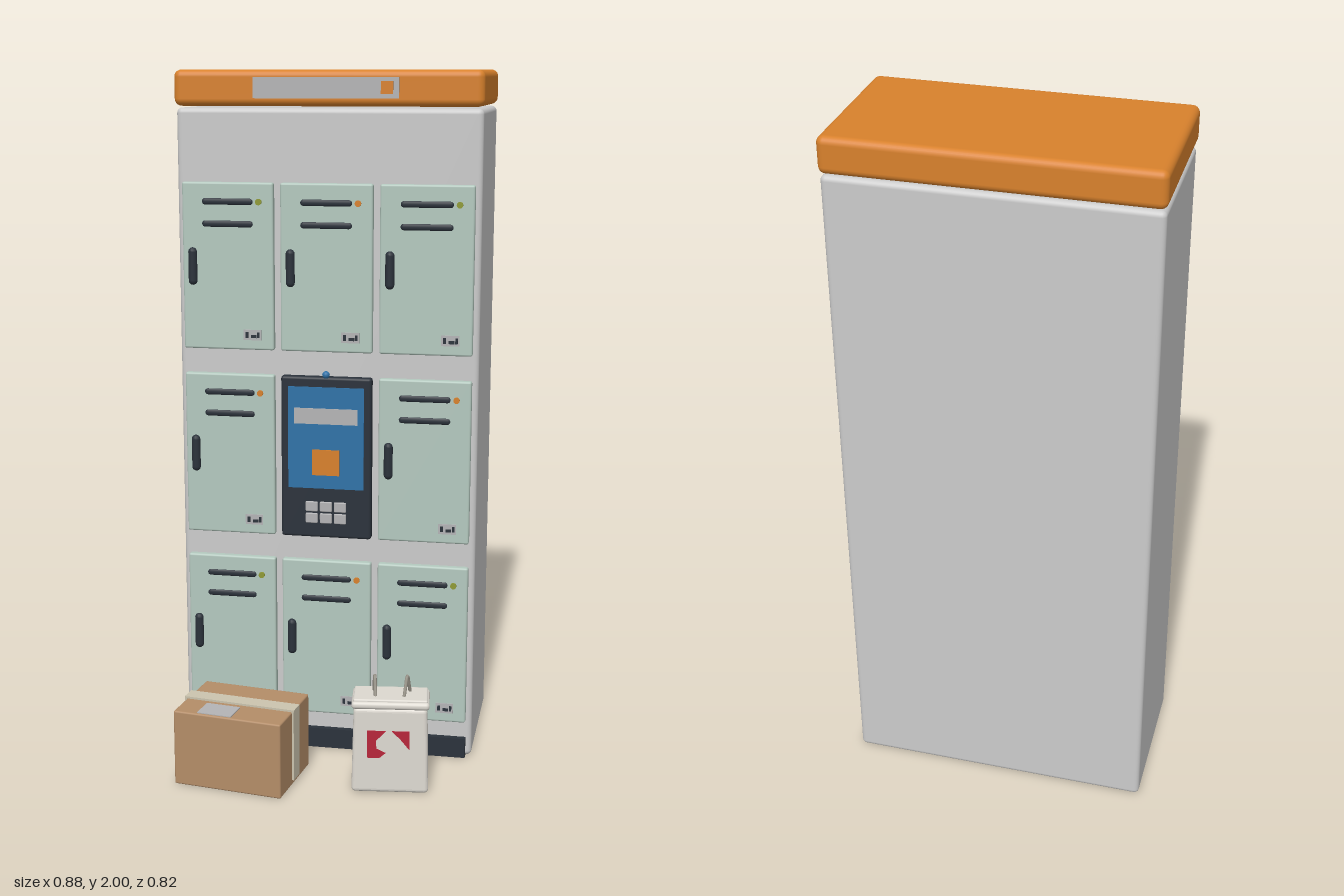
import * as THREE from 'three';
import { RoundedBoxGeometry } from 'three/addons/geometries/RoundedBoxGeometry.js';

const mat = (color) => new THREE.MeshStandardMaterial({ color });
const M = {
  grey: mat(0xcccccc), orange: mat(0xd8812c), mint: mat(0xb4c9bf), dark: mat(0x2b323b),
  blue: mat(0x2f72a8), card: mat(0xb48d68), tape: mat(0xcbc4ae), bag: mat(0xdcd8d0),
  strap: mat(0x9a958a), red: mat(0xb8263a), green: mat(0x8f9a35), label: mat(0xb4b4b6),
};

export function createModel() {
  const root = new THREE.Group();
  root.name = 'parcelLocker';

  const add = (parent, name, geo, material, x = 0, y = 0, z = 0) => {
    const mesh = new THREE.Mesh(geo, material);
    mesh.name = name;
    mesh.position.set(x, y, z);
    parent.add(mesh);
    return mesh;
  };
  const group = (name, x, y, z, turn = 0) => {
    const g = new THREE.Group();
    g.name = name;
    g.position.set(x, y, z);
    g.rotation.y = turn;
    root.add(g);
    return g;
  };
  const box = (w, h, d) => new THREE.BoxGeometry(w, h, d);
  const rbox = (w, h, d, r, seg = 3) => new RoundedBoxGeometry(w, h, d, seg, r);
  // Pill-shaped bar, flattened in depth
  const pill = (length, r, depth, upright) => {
    const g = new THREE.CapsuleGeometry(r, length - 2 * r, 4, 12);
    if (!upright) g.rotateZ(Math.PI / 2);
    return g.scale(1, 1, depth / r);
  };
  const disc = (r, d) => new THREE.CylinderGeometry(r, r, d, 16).rotateX(Math.PI / 2);

  // Cabinet, cap and plinth
  add(root, 'cabinet', rbox(0.87, 1.895, 0.43, 0.015), M.grey, 0, 0.9475, -0.19);
  add(root, 'cap', rbox(0.875, 0.1, 0.456, 0.02), M.orange, 0, 1.95, -0.185);
  add(root, 'plinth', box(0.836, 0.06, 0.025), M.dark, 0, 0.03, 0.03);

  // Sign on the cap
  add(root, 'sign', box(0.41, 0.058, 0.004), M.label, 0, 1.951, 0.055);
  add(root, 'signMount', box(0.2, 0.03, 0.014), M.dark, 0, 1.951, 0.047);
  add(root, 'signSquare', box(0.034, 0.034, 0.004), M.orange, 0.172, 1.952, 0.058);

  // One locker door with vents, handle, light and number plate
  const door = (x, y, light) => {
    const g = group('door', x, y, 0);
    add(g, 'doorPanel', rbox(0.265, 0.478, 0.026, 0.006, 2), M.mint, 0, 0, 0.031);
    for (const vy of [0.185, 0.122]) add(g, 'vent', pill(0.148, 0.009, 0.004, false), M.dark, 0, vy, 0.044);
    add(g, 'handle', pill(0.108, 0.013, 0.012, true), M.dark, -0.103, 0, 0.046);
    add(g, 'statusLight', disc(0.009, 0.008), light, 0.091, 0.185, 0.046);
    add(g, 'numberPlate', box(0.052, 0.03, 0.004), M.label, 0.07, -0.195, 0.045);
    for (const [mx, my, w, h] of [[-0.016, 0, 0.008, 0.016], [0.004, -0.004, 0.016, 0.009], [0.018, 0, 0.007, 0.016]])
      add(g, 'plateMark', box(w, h, 0.002), M.dark, 0.07 + mx, -0.195 + my, 0.0475);
  };
  [1.45, 0.9, 0.35].forEach((y, row) => {
    [-0.285, 0, 0.285].forEach((x, col) => {
      if (row === 1 && col === 1) return;
      door(x, y, (row + col) % 2 ? M.orange : M.green);
    });
  });

  // Control terminal in the middle bay
  const t = group('terminal', 0, 0.9, 0);
  add(t, 'terminalPanel', rbox(0.265, 0.478, 0.03, 0.008, 2), M.dark, 0, 0, 0.033);
  add(t, 'screen', box(0.222, 0.3, 0.006), M.blue, 0, 0.06, 0.048);
  add(t, 'screenBar', box(0.186, 0.046, 0.003), M.label, 0, 0.125, 0.052);
  add(t, 'screenSquare', box(0.08, 0.076, 0.003), M.orange, 0, -0.012, 0.052);
  for (let i = 0; i < 6; i++)
    add(t, 'key', rbox(0.036, 0.03, 0.008, 0.003, 1), M.label, ((i % 3) - 1) * 0.042, i < 3 ? -0.145 : -0.18, 0.049);
  add(t, 'camera', new THREE.SphereGeometry(0.011, 16, 10), M.blue, 0, 0.246, 0.046);

  // Cardboard parcel with wrapped tape and a blank label
  const p = group('parcel', -0.205, 0, 0.268, -0.14);
  add(p, 'parcelBox', rbox(0.323, 0.222, 0.242, 0.005, 2), M.card, 0, 0.111, 0);
  add(p, 'tapeTop', box(0.336, 0.006, 0.048), M.tape, 0, 0.225, 0);
  for (const s of [-1, 1]) add(p, 'tapeSide', box(0.006, 0.21, 0.048), M.tape, s * 0.164, 0.12, 0);
  add(p, 'parcelLabel', box(0.102, 0.003, 0.073), M.label, -0.04, 0.223, 0.078);

  // Bag: body narrows a little towards the top
  const b = group('bag', 0.225, 0, 0.248, 0.12);
  const body = rbox(0.218, 0.25, 0.135, 0.012);
  const pos = body.attributes.position;
  for (let i = 0; i < pos.count; i++) {
    const k = (pos.getY(i) + 0.125) / 0.25;
    pos.setX(i, pos.getX(i) * (1 - 0.05 * k));
    pos.setZ(i, pos.getZ(i) * (1 - 0.13 * k));
  }
  body.computeVertexNormals();
  add(b, 'bagBody', body, M.bag, 0, 0.125, 0);
  add(b, 'bagRim', rbox(0.22, 0.022, 0.122, 0.01), M.bag, 0, 0.257, 0);
  add(b, 'bagTop', rbox(0.21, 0.012, 0.105, 0.005, 2), M.bag, 0, 0.268, 0);

  // Bag handles: bent loops facing each other
  for (const s of [-1, 1]) {
    const curve = new THREE.CatmullRomCurve3([
      [0, 0.262, -0.026], [0, 0.295, -0.014], [0, 0.326, 0], [0, 0.295, 0.014], [0, 0.262, 0.026],
    ].map((q) => new THREE.Vector3(...q)));
    const h = add(b, 'bagHandle', new THREE.TubeGeometry(curve, 24, 0.005, 8), M.strap, s * 0.046, 0, 0);
    h.rotation.y = -s * 0.25 - 0.12;
  }

  // Red printed patches on the bag front
  const patches = [
    [[-0.065, 0.185], [-0.065, 0.105], [-0.03, 0.105], [-0.012, 0.12], [-0.038, 0.132], [-0.04, 0.155], [-0.012, 0.185]],
    [[0.005, 0.185], [0.03, 0.16], [0.055, 0.13], [0.055, 0.185]],
  ];
  for (const pts of patches) {
    const shape = new THREE.Shape(pts.map((q) => new THREE.Vector2(...q)));
    const geo = new THREE.ExtrudeGeometry(shape, { depth: 0.003, bevelEnabled: false });
    // Lean with the tapered front face
    const v = geo.attributes.position;
    for (let i = 0; i < v.count; i++) v.setZ(i, v.getZ(i) + 0.0675 * (1 - 0.13 * v.getY(i) / 0.25) - 0.001);
    add(b, 'redPatch', geo, M.red);
  }
  return root;
}
